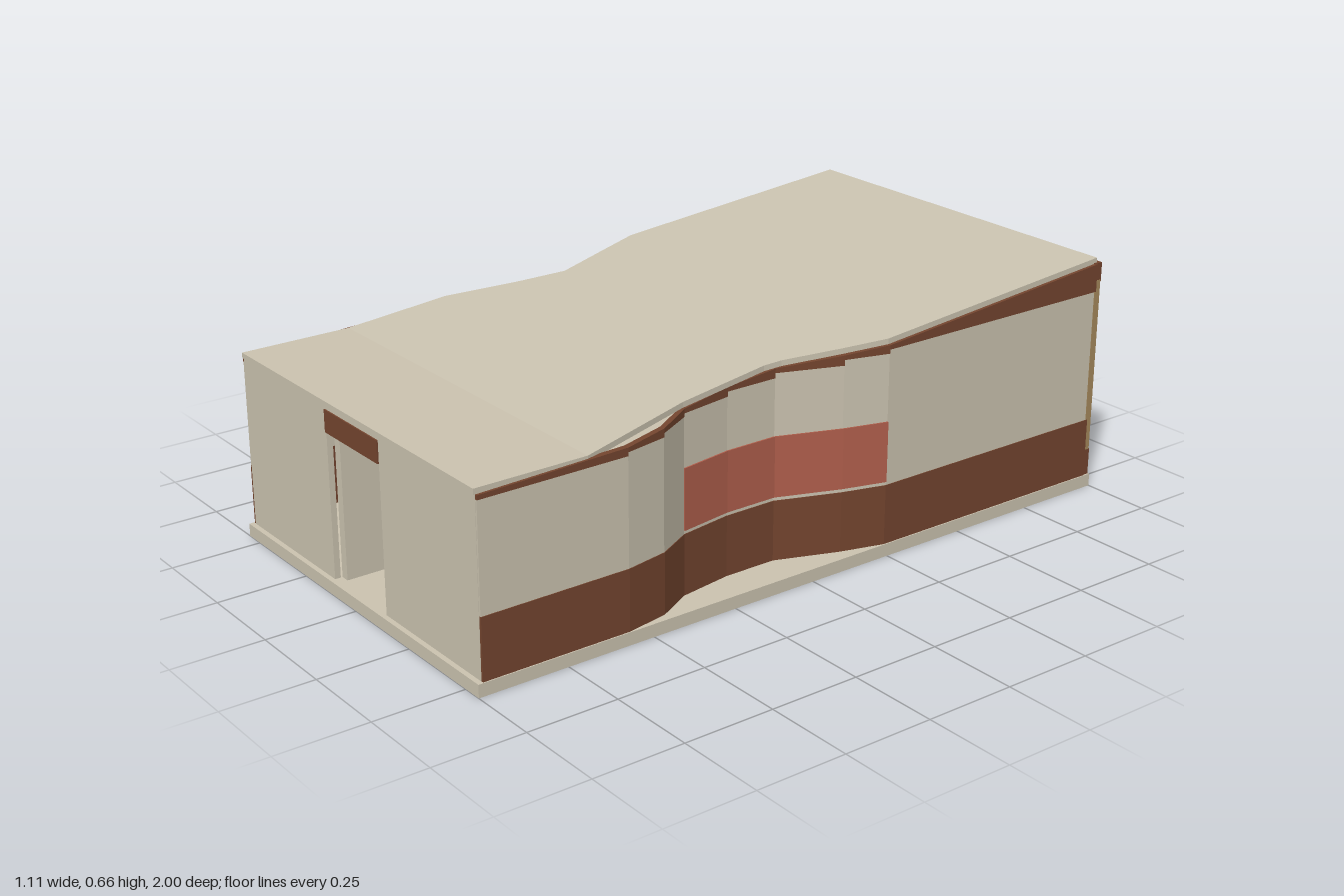
import * as THREE from 'three';

const mat = (name, color, extra = {}) => Object.assign(new THREE.MeshStandardMaterial({ color, ...extra }), { name });

export function createModel() {
  const plaster = mat('plaster', 0xcbc3b0);
  const brown = mat('brown cladding', 0x74452f);
  const terracotta = mat('terracotta', 0xb05f4c);
  const glass = mat('glass', 0x8bb3b8);
  const wood = mat('wood', 0xa5895c);

  const model = new THREE.Group();
  model.name = 'pavilion';

  const add = (name, geometry, material, parent = model) => {
    const mesh = new THREE.Mesh(geometry, material);
    mesh.name = name;
    parent.add(mesh);
    return mesh;
  };
  const box = (name, material, x0, x1, y0, y1, z0, z1) =>
    add(name, new THREE.BoxGeometry(x1 - x0, y1 - y0, z1 - z0), material)
      .position.set((x0 + x1) / 2, (y0 + y1) / 2, (z0 + z1) / 2);

  // Plan outline [x, z] raised between two heights that may vary with z
  const prism = (plan, low, high) => {
    const shape = new THREE.Shape(plan.map(([x, z]) => new THREE.Vector2(x, -z)));
    const g = new THREE.ExtrudeGeometry(shape, { depth: 1, bevelEnabled: false });
    g.rotateX(-Math.PI / 2);
    const p = g.attributes.position;
    for (let i = 0; i < p.count; i++) {
      const z = p.getZ(i);
      p.setY(i, p.getY(i) > 0.5 ? high(z) : low(z));
    }
    g.computeVertexNormals();
    return g;
  };
  const at = (y) => () => y;

  // Roof heights: level at the front, rising to the back
  const BREAK = 0.68;
  const roofTop = (z) => 0.515 + Math.max(0, BREAK - z) * 0.0878;
  const roofUnder = (z) => roofTop(z) - 0.015;

  // Floor slab
  box('floorSlab', plaster, -0.555, 0.555, 0, 0.035, -1, 1);

  // Roof: level strip and pinched sloping sheet
  add('roofFront', prism([[-0.545, 0.99], [0.545, 0.99], [0.545, BREAK], [-0.545, BREAK]], roofUnder, roofTop), plaster);
  add('roofSlope', prism([
    [-0.545, BREAK], [0.545, BREAK], [0.47, 0.35], [0.445, 0.08], [0.452, 0.03], [0.505, -0.12], [0.543, -0.24],
    [0.543, -0.985], [-0.543, -0.985], [-0.543, -0.24], [-0.51, -0.13], [-0.455, 0.05], [-0.485, 0.18], [-0.545, 0.38],
  ], roofUnder, roofTop), plaster);

  // Side walls: plan paths from front to back, built panel by panel
  const sides = [
    {
      name: 'leftWall', sign: 1, panel: [0.35, -0.24],
      wall: [[0.55, 0.985], [0.55, 0.57], [0.528, 0.45], [0.475, 0.35], [0.452, 0.2], [0.452, 0.05],
        [0.516, -0.12], [0.55, -0.24], [0.55, -0.98]],
    },
    {
      name: 'rightWall', sign: -1, panel: [0.38, -0.13],
      wall: [[-0.55, 0.985], [-0.55, 0.38], [-0.53, 0.25], [-0.5, 0.17], [-0.48, 0.1], [-0.48, -0.02],
        [-0.515, -0.13], [-0.55, -0.24], [-0.55, -0.98]],
      fascia: [[-0.55, 0.985], [-0.55, 0.38], [-0.53, 0.25], [-0.477, 0.15], [-0.459, 0.1], [-0.457, 0.04],
        [-0.515, -0.13], [-0.55, -0.24], [-0.55, -0.98]],
    },
  ];
  for (const { name, sign, panel, wall, fascia = wall } of sides) {
    const group = new THREE.Group();
    group.name = name;
    model.add(group);
    const strip = (path, i, out, inn) => {
      const [a, b] = [path[i], path[i + 1]];
      return [[a[0] + sign * out, a[1]], [b[0] + sign * out, b[1]],
        [b[0] - sign * inn, b[1]], [a[0] - sign * inn, a[1]]];
    };
    for (let i = 0; i < wall.length - 1; i++) {
      const top = roofUnder(wall[i][1]) - 0.012;
      add('baseBand', prism(strip(wall, i, 0.002, 0.016), at(0.035), at(0.2)), brown, group);
      add('wallPanel', prism(strip(wall, i, 0, 0.016), at(0.2), at(top)), plaster, group);
      add('roofFascia', prism(strip(fascia, i, 0.002, 0.014), at(top), roofUnder), brown, group);
      // Thin coloured panel on the curved part
      if (wall[i][1] <= panel[0] && wall[i + 1][1] >= panel[1])
        add('colourPanel', prism(strip(wall, i, 0.004, 0.002), at(0.21), at(0.375)), terracotta, group);
    }
  }

  // Front wall with a doorway
  for (const s of [-1, 1])
    box('frontWall', plaster, s < 0 ? -0.545 : 0.125, s < 0 ? -0.125 : 0.545, 0.035, 0.492, 0.97, 0.986);
  box('frontEave', plaster, -0.545, 0.545, 0.492, 0.502, 0.97, 0.986);
  box('doorLintel', brown, -0.125, 0.125, 0.432, 0.492, 0.97, 0.99);

  // Hall partition behind the doorway
  box('hallPartition', plaster, -0.125, -0.1, 0.035, 0.49, 0.3, 0.965);

  // Glazed back wall
  box('backSill', brown, -0.55, 0.55, 0.035, 0.11, -0.998, -0.975);
  box('backBeam', brown, -0.55, 0.55, 0.595, 0.648, -0.998, -0.975);
  box('backGlass', glass, -0.545, 0.545, 0.11, 0.595, -0.988, -0.982);
  for (const x of [-0.54, 0, 0.54])
    box('backMullion', wood, x - 0.011, x + 0.011, 0.11, 0.6, -0.995, -0.975);

  return model;
}
